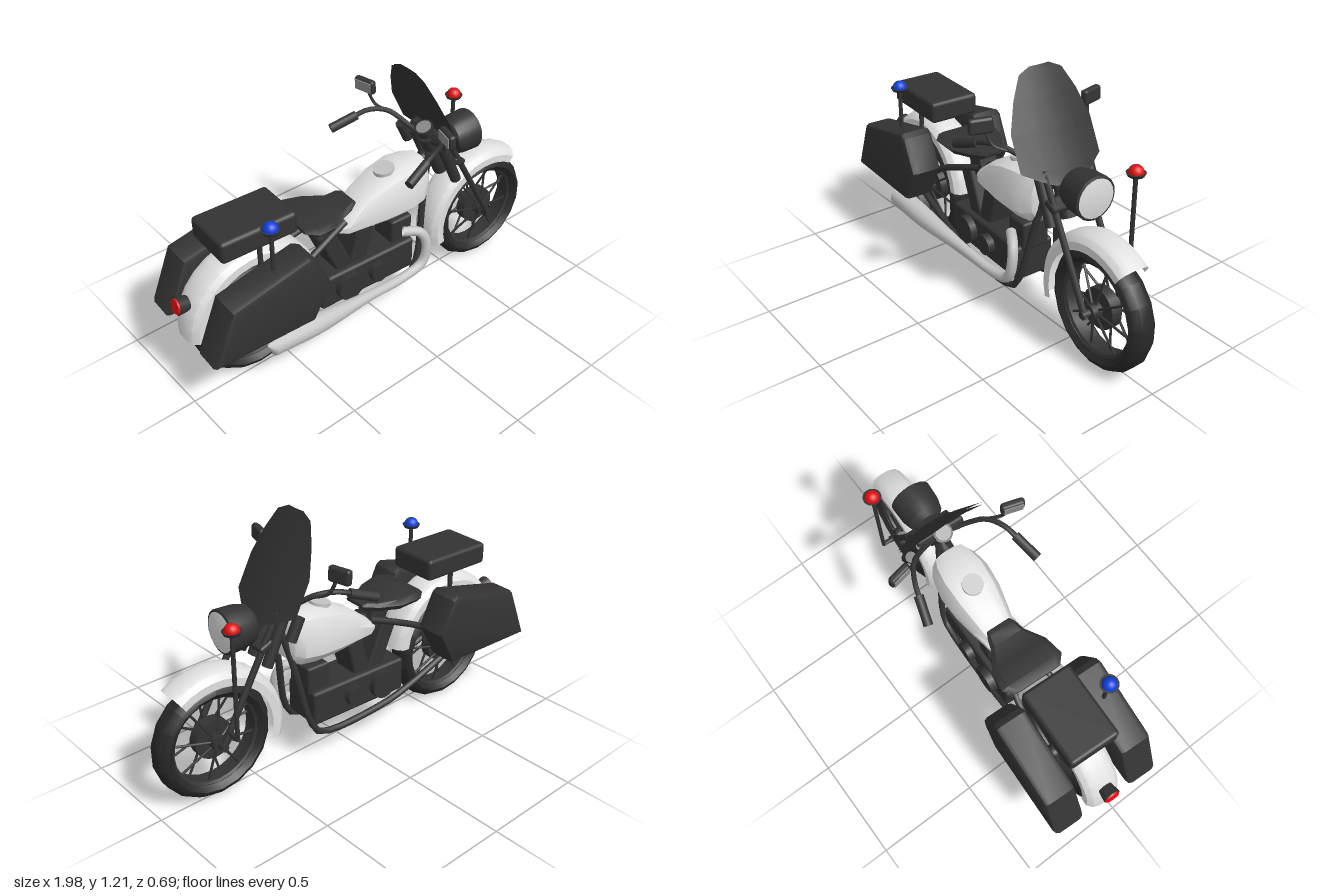
import * as THREE from 'three';
import { toCreasedNormals } from 'three/addons/utils/BufferGeometryUtils.js';
import { RoundedBoxGeometry } from 'three/addons/geometries/RoundedBoxGeometry.js';

const paint = (name, color) => {
  const m = new THREE.MeshStandardMaterial({ color, side: THREE.DoubleSide });
  m.name = name;
  return m;
};
const V = (x, y, z) => new THREE.Vector3(x, y, z);

export function createModel() {
  const white = paint('white paint', 0xe0e0e0);
  const black = paint('black metal', 0x333333);
  const rubber = paint('tyre rubber', 0x282828);
  const chrome = paint('exhaust metal', 0xc4c4c4);
  const glass = paint('lamp glass', 0xdcdcdc);
  const mirrorGrey = paint('mirror glass', 0x8c8c8c);
  const red = paint('red lamp', 0xe01010);
  const blue = paint('blue lamp', 0x1040d8);

  const root = new THREE.Group();
  root.name = 'motorcycle';
  const bike = new THREE.Group();
  bike.name = 'bike';
  root.add(bike);

  // ---- helpers ----
  function add(name, geo, mat, pos = [0, 0, 0], rot = [0, 0, 0], parent = bike) {
    const m = new THREE.Mesh(geo, mat);
    m.name = name;
    m.position.set(...pos);
    m.rotation.set(...rot);
    parent.add(m);
    return m;
  }
  function rod(name, a, b, r, mat = black, parent = bike, sides = 8, r2 = r) {
    const d = b.clone().sub(a);
    const m = add(name, new THREE.CylinderGeometry(r2, r, d.length(), sides), mat, [0, 0, 0], [0, 0, 0], parent);
    m.position.copy(a).addScaledVector(d, 0.5);
    m.quaternion.setFromUnitVectors(V(0, 1, 0), d.normalize());
    return m;
  }
  // tube whose radius follows radius(t)
  function tube(name, pts, radius, mat = black, seg = 24, sides = 8) {
    const curve = new THREE.CatmullRomCurve3(pts, false, 'centripetal');
    const g = new THREE.TubeGeometry(curve, seg, 1, sides);
    const p = g.attributes.position, v = V(0, 0, 0);
    for (let i = 0; i < p.count; i++) {
      const t = Math.floor(i / (sides + 1)) / seg, c = curve.getPointAt(t);
      v.fromBufferAttribute(p, i).sub(c).multiplyScalar(radius(t)).add(c);
      p.setXYZ(i, v.x, v.y, v.z);
    }
    return add(name, g, mat);
  }
  // surface through rows of points, closed into a capped solid if asked
  function loft(name, rows, mat, solid, crease = 0.6) {
    const n = rows[0].length, idx = [];
    for (let i = 0; i < rows.length - 1; i++)
      for (let j = 0; j < (solid ? n : n - 1); j++) {
        const k = (j + 1) % n, a = i * n + j, b = i * n + k, c = a + n, d = b + n;
        idx.push(a, b, c, b, d, c);
      }
    if (solid) {
      const e = (rows.length - 1) * n;
      for (let j = 1; j < n - 1; j++) idx.push(0, j + 1, j, e, e + j, e + j + 1);
    }
    const g = new THREE.BufferGeometry();
    g.setAttribute('position', new THREE.Float32BufferAttribute(rows.flat(2), 3));
    g.setIndex(idx);
    return add(name, toCreasedNormals(g, crease), mat);
  }
  const lathe = (pts, seg) => toCreasedNormals(
    new THREE.LatheGeometry(pts.map(p => new THREE.Vector2(...p)), seg), 0.6);

  // ---- wheels ----
  function wheel(name, x, hubR) {
    const w = new THREE.Group();
    w.name = name;
    w.position.set(x, 0.282, 0);
    bike.add(w);
    const turn = [Math.PI / 2, 0, 0];
    add('tyre', lathe([[0.215, -0.045], [0.24, -0.066], [0.262, -0.056], [0.281, -0.026], [0.281, 0.026],
      [0.262, 0.056], [0.24, 0.066], [0.215, 0.045], [0.215, -0.045]], 18), rubber, [0, 0, 0], turn, w);
    add('rim', lathe([[0.218, -0.045], [0.203, -0.035], [0.203, 0.035], [0.218, 0.045]], 24), black, [0, 0, 0], turn, w);
    add('hub', new THREE.CylinderGeometry(0.035, 0.035, 0.15, 14), black, [0, 0, 0], turn, w);
    add('brakeDrum', new THREE.CylinderGeometry(hubR, hubR, 0.05, 18), black, [0, 0, 0], turn, w);
    for (let i = 0; i < 16; i++) {
      const a = (i + 0.5) * Math.PI / 8, z = i % 2 ? 0.045 : -0.045;
      rod('spoke', V(Math.cos(a) * 0.03, Math.sin(a) * 0.03, z),
        V(Math.cos(a) * 0.21, Math.sin(a) * 0.21, z * 0.4), 0.006, black, w, 5);
    }
  }
  wheel('frontWheel', 0.705, 0.095);
  wheel('rearWheel', -0.645, 0.085);

  // ---- fenders: a rounded channel swept around an arc ----
  function fender(name, cx, cy, r, from, to, hw) {
    const profile = [[-1, -0.072], [-1, -0.035], [-0.75, -0.01], [-0.35, 0], [0.35, 0], [0.75, -0.01], [1, -0.035], [1, -0.072]];
    const rows = [];
    for (let i = 0; i <= 14; i++) {
      const a = THREE.MathUtils.degToRad(from + (to - from) * i / 14);
      rows.push(profile.map(([z, d]) => [cx + Math.cos(a) * (r + d), cy + Math.sin(a) * (r + d), z * hw]));
    }
    loft(name, rows, white, false);
  }
  fender('frontFender', 0.705, 0.282, 0.346, 56, 196, 0.078);
  fender('rearFender', -0.635, 0.345, 0.34, 6, 184, 0.085);

  // ---- fuel tank: x, half width, bottom, top ----
  loft('fuelTank', [[-0.18, 0.05, 0.53, 0.56], [-0.14, 0.075, 0.512, 0.6], [-0.04, 0.1, 0.508, 0.675], [0.08, 0.124, 0.506, 0.73],
    [0.19, 0.13, 0.506, 0.756], [0.27, 0.115, 0.512, 0.754], [0.31, 0.09, 0.535, 0.748], [0.32, 0.07, 0.56, 0.725]]
    .map(([x, w, b, t]) => [[0.35, 1], [0.75, 0.9], [1, 0.6], [0.95, 0.2], [0.6, 0], [-0.6, 0], [-0.95, 0.2], [-1, 0.6], [-0.75, 0.9], [-0.35, 1]]
      .map(([z, k]) => [x, b + (t - b) * k, z * w])), white, true);
  add('fuelCap', new THREE.CylinderGeometry(0.05, 0.05, 0.03, 18), chrome, [0.11, 0.737, 0], [0, 0, 0.2]);

  // ---- seat: x, half width, bottom, top ----
  loft('seat', [[-0.405, 0.12, 0.675, 0.69], [-0.36, 0.16, 0.655, 0.697], [-0.26, 0.145, 0.64, 0.685], [-0.17, 0.09, 0.64, 0.675],
    [-0.12, 0.075, 0.65, 0.688], [-0.095, 0.06, 0.668, 0.682]]
    .map(([x, w, b, t]) => [[0.8, 1], [1, 0.6], [0.85, 0], [-0.85, 0], [-1, 0.6], [-0.8, 1]]
      .map(([z, k]) => [x, b + (t - b) * k, z * w])), black, true);
  add('seatPost', new THREE.BoxGeometry(0.09, 0.13, 0.09), black, [-0.2, 0.6, 0], [0, 0, 0.3]);

  // ---- engine ----
  add('crankcase', new RoundedBoxGeometry(0.54, 0.17, 0.2, 1, 0.015), black, [-0.05, 0.265, 0]);
  for (const [x, y, rot, w, h] of [[-0.205, 0.44, 0.4, 0.085, 0.26], [-0.06, 0.46, -0.25, 0.09, 0.28], [0.17, 0.4, 0, 0.12, 0.14]])
    add('cylinderBlock', new RoundedBoxGeometry(w, h, 0.14, 1, 0.012), black, [x, y, 0], [0, 0, rot]);
  for (const [x, r] of [[-0.175, 0.07], [-0.005, 0.05]])
    add('engineCover', new THREE.CylinderGeometry(r, r, 0.27, 14), black, [x, 0.27, 0], [Math.PI / 2, 0, 0]);

  // ---- frame ----
  for (const s of [1, -1]) {
    tube('cradleTube', [V(0.36, 0.75, 0.02 * s), V(0.3, 0.5, 0.06 * s), V(0.24, 0.21, 0.1 * s), V(0.19, 0.145, 0.105 * s),
      V(-0.2, 0.145, 0.105 * s), V(-0.36, 0.18, 0.1 * s), V(-0.645, 0.282, 0.095 * s)], () => 0.016);
    tube('rearStay', [V(-0.645, 0.29, 0.095 * s), V(-0.45, 0.47, 0.1 * s), V(-0.3, 0.54, 0.08 * s), V(-0.15, 0.59, 0.05 * s)], () => 0.016);
    rod('caseStay', V(-0.62, 0.6, 0.09 * s), V(-0.62, 0.74, 0.09 * s), 0.012);
  }
  rod('backbone', V(-0.2, 0.57, 0), V(0.38, 0.72, 0), 0.025);

  // ---- exhaust ----
  tube('exhaust', [V(0.16, 0.41, 0.09), V(0.23, 0.4, 0.13), V(0.258, 0.33, 0.15), V(0.23, 0.23, 0.155), V(0.12, 0.195, 0.155),
    V(-0.1, 0.205, 0.17), V(-0.4, 0.235, 0.2), V(-0.69, 0.265, 0.215)],
  t => t >= 1 ? 0.001 : 0.024 + 0.028 * THREE.MathUtils.smoothstep(t, 0.45, 0.85), chrome, 48, 12);

  // ---- fork, headlight and steering ----
  for (const s of [1, -1]) {
    rod('forkLeg', V(0.715, 0.265, 0.1 * s), V(0.39, 0.86, 0.1 * s), 0.015);
    rod('forkSleeve', V(0.47, 0.59, 0.1 * s), V(0.37, 0.81, 0.1 * s), 0.026, black, bike, 10);
    tube('handlebar', [V(0.37, 0.8, 0.03 * s), V(0.34, 0.84, 0.11 * s), V(0.28, 0.9, 0.19 * s), V(0.2, 0.91, 0.235 * s), V(0.12, 0.885, 0.258 * s)], () => 0.012, black, 16);
    rod('grip', V(0.145, 0.893, 0.252 * s), V(0.02, 0.85, 0.285 * s), 0.022, black, bike, 10);
    tube('mirrorStalk', [V(0.29, 0.89, 0.18 * s), V(0.25, 0.92, 0.245 * s), V(0.225, 0.99, 0.27 * s)], () => 0.008, black, 10, 6);
    add('mirror', new RoundedBoxGeometry(0.035, 0.07, 0.11, 2, 0.014), black, [0.225, 1.01, 0.288 * s], [0, -0.25 * s, 0.08]);
    add('mirrorGlass', new THREE.BoxGeometry(0.006, 0.05, 0.088), mirrorGrey, [0.207, 1.01, 0.284 * s], [0, -0.25 * s, 0.08]);
  }
  rod('axle', V(0.705, 0.282, -0.115), V(0.705, 0.282, 0.115), 0.018);
  rod('steeringHead', V(0.46, 0.6, 0), V(0.36, 0.82, 0), 0.036, black, bike, 12);
  for (const [x, y] of [[0.475, 0.69], [0.39, 0.83]])
    add('forkClamp', new RoundedBoxGeometry(0.07, 0.035, 0.24, 1, 0.01), black, [x, y, 0], [0, 0, -0.45]);
  add('horn', new THREE.CylinderGeometry(0.026, 0.026, 0.11, 10), black, [0.37, 0.765, -0.17], [0, 0, 0.45]);
  add('headlightShell', lathe([[0, 0], [0.055, 0.005], [0.085, 0.03], [0.098, 0.08], [0.101, 0.16], [0.09, 0.165]], 20),
    black, [0.465, 0.765, 0], [0, 0, -Math.PI / 2]);
  add('headlightGlass', lathe([[0.094, 0], [0.06, 0.007], [0, 0.01]], 20), glass, [0.626, 0.765, 0], [0, 0, -Math.PI / 2]);
  add('gauge', new THREE.CylinderGeometry(0.045, 0.04, 0.04, 16), black, [0.35, 0.86, 0], [0, 0, 0.45]);
  add('gaugeFace', new THREE.CylinderGeometry(0.036, 0.036, 0.006, 16), mirrorGrey, [0.341, 0.879, 0], [0, 0, 0.45]);

  // ---- windshield: bowed sheet, rows of height and half width ----
  for (const back of [0, 0.012])
    loft('windshield', [[1.215, 0.05], [1.19, 0.105], [1.1, 0.155], [0.98, 0.2], [0.83, 0.202], [0.795, 0.13], [0.77, 0.07]]
      .map(([y, w]) => [-1, -0.5, 0, 0.5, 1].map(u =>
        [0.24 - back + (1.215 - y) * 0.5 - 0.8 * (u * w) ** 2, y, u * w])), black, false);

  // ---- luggage ----
  const bag = new THREE.Shape([[-0.975, 0.343], [-0.475, 0.343], [-0.385, 0.515], [-0.46, 0.675], [-0.49, 0.692], [-0.87, 0.602]]
    .map(p => new THREE.Vector2(...p)));
  const bagGeo = toCreasedNormals(new THREE.ExtrudeGeometry(bag, { depth: 0.11, bevelThickness: 0.025, bevelSize: 0.025, bevelOffset: -0.025, bevelSegments: 2 }), 0.5);
  for (const s of [1, -1]) add('saddlebag', bagGeo, black, [0, 0, s > 0 ? 0.147 : -0.257]);
  add('topCase', new RoundedBoxGeometry(0.37, 0.105, 0.25, 2, 0.018), black, [-0.63, 0.772, 0]);

  // ---- signal lamps ----
  function beacon(name, x, z, bottom, top, mat) {
    rod(name + 'Pole', V(x, bottom, z), V(x, top, z), 0.01);
    add(name + 'Base', new THREE.CylinderGeometry(0.043, 0.036, 0.014, 16), black, [x, top, z]);
    add(name + 'Dome', new THREE.SphereGeometry(0.034, 16, 8, 0, Math.PI * 2, 0, Math.PI / 2), mat, [x, top + 0.007, z]);
  }
  beacon('redBeacon', 0.675, -0.165, 0.34, 0.85, red);
  beacon('blueBeacon', -0.625, 0.2, 0.62, 0.862, blue);
  rod('beaconBracket', V(0.675, 0.345, -0.165), V(0.675, 0.345, -0.09), 0.012);
  add('tailLampShell', new THREE.CylinderGeometry(0.042, 0.034, 0.05, 16), black, [-0.96, 0.505, 0], [0, 0, Math.PI / 2 - 0.15]);
  add('tailLampGlass', new THREE.CylinderGeometry(0.034, 0.038, 0.009, 16), red, [-0.988, 0.509, 0], [0, 0, Math.PI / 2 - 0.15]);

  // the whole bike stands turned slightly off the x axis
  bike.rotation.y = -0.054;
  bike.position.z = -0.016;
  return root;
}
